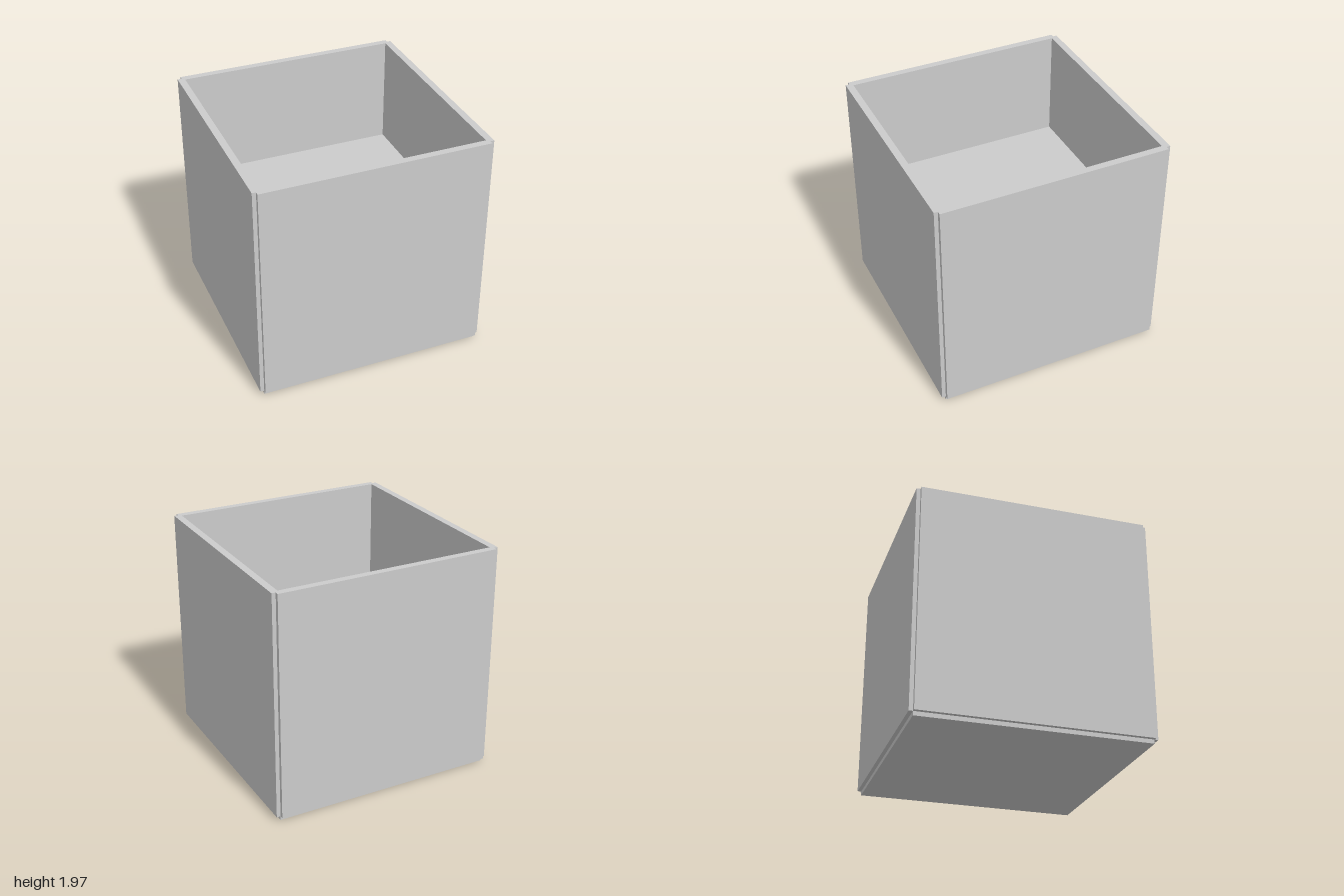
import * as THREE from 'three';

const OUT = 1;        // outer half width
const CORE = 0.967;   // half width inside the corner notches
const INNER = 0.94;   // half width of the opening
const STEP = 0.035;   // height of the recessed base
const FLOOR = 1.02;   // raised inner floor
const TOP = 1.97;

export function createModel() {
  const group = new THREE.Group();
  const material = new THREE.MeshStandardMaterial({ color: 0xcccccc, flatShading: true });

  const add = (name, geometry, y) => {
    const mesh = new THREE.Mesh(geometry, material);
    mesh.name = name;
    mesh.position.y = y;
    group.add(mesh);
  };
  const block = (name, half, y0, y1) =>
    add(name, new THREE.BoxGeometry(2 * half, y1 - y0, 2 * half), (y0 + y1) / 2);

  // Square outline with a small notch cut from each corner
  const points = [];
  for (let i = 0; i < 4; i++) {
    for (const [x, y] of [[OUT, -CORE], [OUT, CORE], [CORE, CORE]]) {
      points.push(new THREE.Vector2(x, y).rotateAround(new THREE.Vector2(), i * Math.PI / 2));
    }
  }
  const outline = new THREE.Shape(points);
  outline.holes.push(new THREE.Path([
    new THREE.Vector2(-INNER, -INNER), new THREE.Vector2(-INNER, INNER),
    new THREE.Vector2(INNER, INNER), new THREE.Vector2(INNER, -INNER),
  ]));

  // Four walls with an open top
  const walls = new THREE.ExtrudeGeometry(outline, { depth: TOP - STEP, bevelEnabled: false });
  walls.rotateX(-Math.PI / 2);
  add('walls', walls, STEP);

  // Raised floor inside, and the recessed base below
  block('innerFloor', INNER, STEP, FLOOR);
  block('base', CORE, 0, STEP);

  return group;
}
